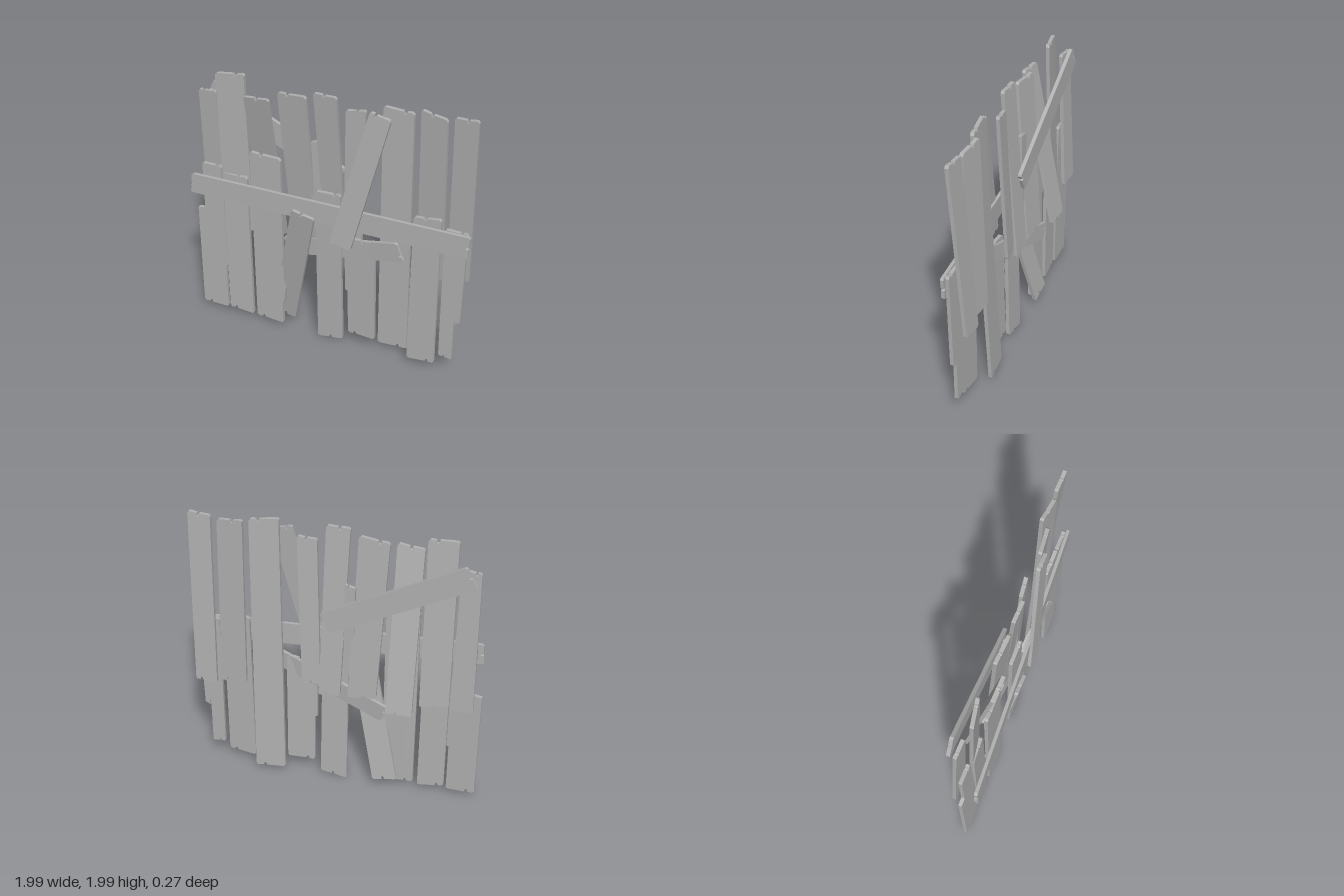
import * as THREE from 'three';

const wood = new THREE.MeshStandardMaterial({ color: 0xb0b0b0 });
wood.name = 'weathered grey wood';

let seed = 11;
const rand = () => (seed = (seed * 16807) % 2147483647) / 2147483647;

// Splintered end from p to q; "inward" points into the board
function raggedEnd(p, q, inward) {
  const at = (t, d) => new THREE.Vector2().lerpVectors(p, q, t).addScaledVector(inward, d);
  const n = 0.2 + rand() * 0.5;
  return [at(0, 0.012), at(0.06, 0.002), at(n, 0.006 * rand()), at(n + 0.04, 0.025),
    at(n + 0.09, 0.022), at(n + 0.12, 0.004), at(0.93, 0), at(1, 0.014)];
}

// Board from end A (a0, a1) to end B (b0, b1). zA and zB are the depths of the
// ends, twist the depth change from side 0 to side 1. chips are extra points on the sides.
function board(name, [a0, a1, b0, b1], zA, zB, twist = 0, chips1 = [], chips0 = [], thick = 0.025) {
  const v = (p) => new THREE.Vector2(p[0], p[1]);
  const [A0, A1, B0, B1] = [a0, a1, b0, b1].map(v);
  const start = A0.clone().add(A1).multiplyScalar(0.5);
  const axis = B0.clone().add(B1).multiplyScalar(0.5).sub(start);
  const length = axis.length();
  axis.normalize();
  const across = A1.clone().sub(A0);
  const width = across.length();
  across.normalize();
  const outline = [
    ...raggedEnd(A0, A1, axis), ...chips1.map(v),
    ...raggedEnd(B1, B0, axis.clone().negate()), ...chips0.map(v),
  ];
  const geo = new THREE.ExtrudeGeometry(new THREE.Shape(outline), { depth: thick, bevelEnabled: false });
  // Lean and twist the flat board
  const pos = geo.attributes.position;
  const d = new THREE.Vector2();
  for (let i = 0; i < pos.count; i++) {
    d.set(pos.getX(i), pos.getY(i)).sub(start);
    const lean = THREE.MathUtils.lerp(zA, zB, d.dot(axis) / length);
    pos.setZ(i, pos.getZ(i) - thick / 2 + lean + (twist * d.dot(across)) / width);
  }
  geo.computeVertexNormals();
  const mesh = new THREE.Mesh(geo, wood);
  mesh.name = name;
  return mesh;
}

// Upright board: left x, right x, left y, right y of the top, then of the bottom
function upright(name, t, b, zTop, zBottom, twist, rightChips, leftChips) {
  return board(name, [[t[0], t[2]], [t[1], t[3]], [b[0], b[2]], [b[1], b[3]]],
    zTop, zBottom, twist, rightChips, leftChips);
}

export function createModel() {
  const model = new THREE.Group();
  model.name = 'boardedFence';

  // Upper boards, leaning back toward the bottom
  const upper = [
    [[-0.94, -0.81, 1.81, 1.82], [-0.955, -0.8, 0.78, 0.77], 0.0, -0.045, 0.005],
    [[-0.78, -0.59, 1.985, 1.995], [-0.785, -0.59, 0.76, 0.75], 0.03, -0.025, -0.035],
    [[-0.56, -0.38, 1.88, 1.895], [-0.56, -0.38, 0.73, 0.72], 0.09, -0.125, 0.005],
    [[-0.35, -0.145, 1.925, 1.94], [-0.3, -0.1, 0.78, 0.75], 0.03, -0.055, 0.015],
    [[-0.09, 0.07, 1.985, 1.985], [-0.05, 0.1, 0.76, 0.74], 0.04, -0.065, 0.005],
    [[0.12, 0.25, 1.895, 1.91], [0.095, 0.22, 0.81, 0.81], 0.0, -0.06, -0.015],
    [[0.6, 0.78, 1.985, 1.96], [0.61, 0.8, 0.75, 0.73], -0.03, -0.095, 0.025],
    [[0.82, 0.975, 1.985, 1.995], [0.815, 0.97, 0.73, 0.74], -0.025, -0.105, 0.005],
  ];
  upper.forEach((r) => model.add(upright('upperBoard', ...r)));

  // Full height board
  model.add(upright('tallBoard', [0.38, 0.575, 1.995, 1.975], [0.355, 0.565, 0.05, 0.04], 0.02, -0.05, -0.02));

  // Lower boards, some with broken edges
  const lower = [
    [[-0.945, -0.8, 1.25, 1.25], [-1, -0.8, 0.045, 0.045], 0.01, 0.02, 0,
      [[-0.79, 0.9], [-0.785, 0.43], [-0.8, 0.42]], [[-1, 0.87], [-0.945, 0.88]]],
    [[-0.78, -0.6, 1.22, 1.215], [-0.78, -0.595, 0.06, 0.04], 0.02, 0.02, -0.01],
    [[-0.56, -0.335, 1.445, 1.435], [-0.56, -0.35, 0.05, 0.04], 0.035, 0.02, 0,
      [[-0.335, 0.42], [-0.325, 0.36], [-0.335, 0.25], [-0.35, 0.22]]],
    [[-0.09, 0.09, 1.25, 1.26], [-0.085, 0.105, 0, 0.03], 0.02, -0.005, 0],
    [[0.13, 0.35, 0.94, 0.96], [0.15, 0.35, 0.115, 0.11], 0.03, 0.0, 0, [], [[0.15, 0.49], [0.13, 0.5]]],
    [[0.6, 0.79, 1.23, 1.255], [0.6, 0.8, 0.05, 0.07], 0.01, 0.02, 0.005],
    [[0.815, 0.97, 1.19, 1.19], [0.825, 0.92, 0.14, 0.13], 0.005, 0.0, 0, [[0.96, 0.47], [0.925, 0.45], [0.92, 0.5], [0.918, 0.4]]],
    [[-0.14, -0.07, 1.59, 1.61], [-0.13, -0.06, 0.9, 0.9], -0.02, -0.02, 0],
  ];
  lower.forEach((r) => model.add(upright('lowerBoard', ...r)));

  // Crossbar over the front
  model.add(board('crossbar', [[-0.985, 1.065], [-0.97, 1.215], [0.985, 1.02], [0.995, 1.185]],
    0.122, 0.03, 0, [], [], 0.022));

  // Slanting braces: two in front, one threaded through, one at the back
  model.add(board('frontBrace', [[0.3, 1.945], [0.44, 1.91], [0.045, 0.92], [0.2, 0.9]], 0.05, 0.1));
  model.add(board('frontBrace', [[-0.225, 1.115], [-0.06, 1.08], [-0.455, 0.1], [-0.285, 0.065]], 0.11, -0.045));
  model.add(board('threadedBrace', [[0.57, 0.9], [0.51, 1.02], [-0.34, 0.61], [-0.385, 0.73]], 0.065, -0.065, -0.01));
  model.add(board('backBrace', [[-0.93, 1.73], [-0.85, 1.87], [0.02, 1.26], [0.085, 1.4]], -0.055, -0.08));

  return model;
}
